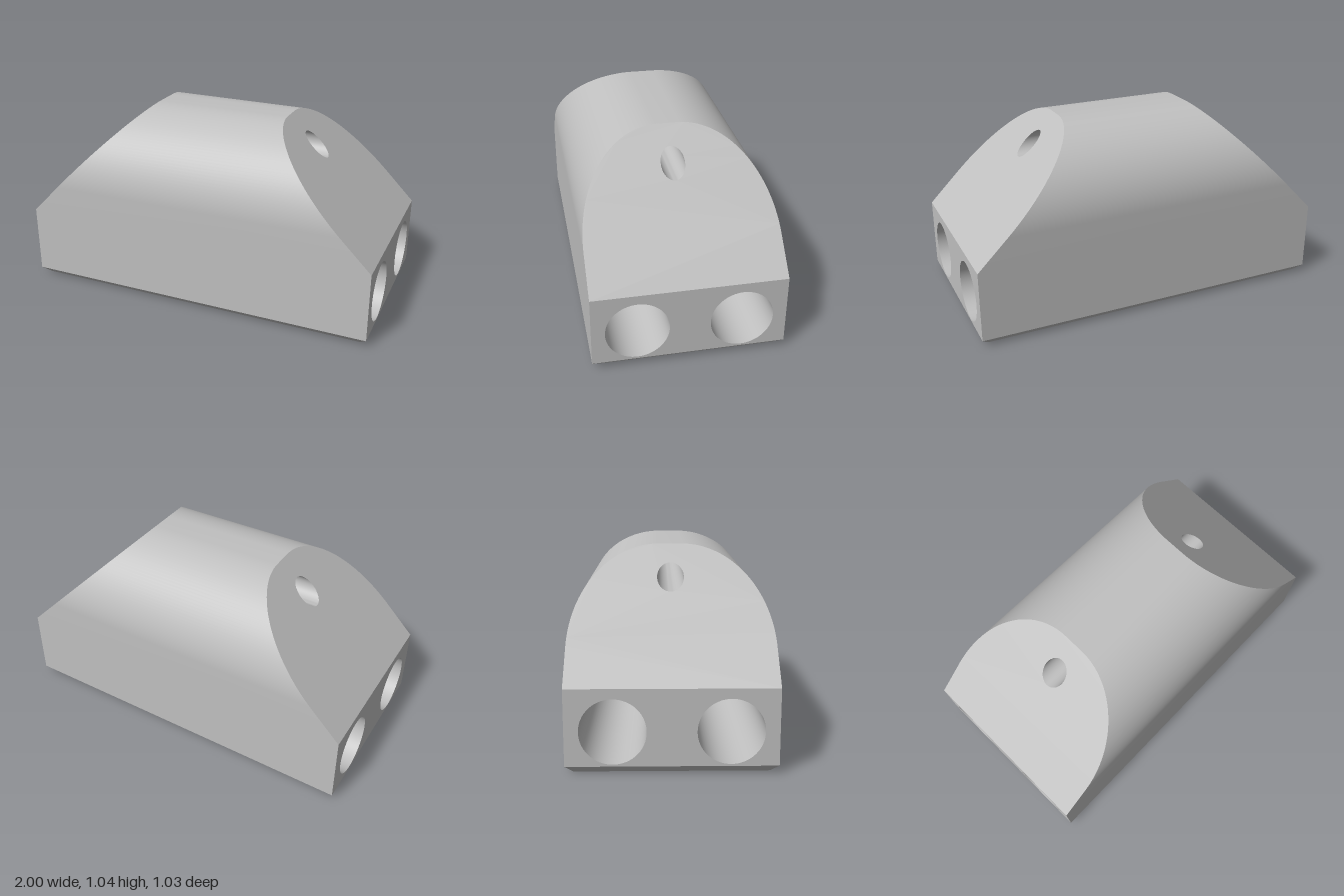
import * as THREE from 'three';
import { toCreasedNormals } from 'three/addons/utils/BufferGeometryUtils.js';

const HALF = 0.507, TOP = 1.04, RADIUS = 0.45, CHAMFER = 0.04, SHOULDER = 0.425;

// Place a cross-section point (z, y) on the left (+1) or right (-1) end:
// chamfered foot, upright end, 45 degree slope, and a slight taper along x
function place(side, z, y) {
  const x = side * Math.min(1, 1 + SHOULDER - y, 1 - CHAMFER + y);
  const taper = -0.008 * x * THREE.MathUtils.clamp(z / 0.1, -1, 1);
  return [x, y, z + taper];
}

// Wall running the whole length along a closed section; counterclockwise faces outwards
function wall(points) {
  const pos = [];
  points.forEach((p, i) => {
    const q = points[(i + 1) % points.length];
    const a = place(-1, p.x, p.y), b = place(1, p.x, p.y);
    const c = place(1, q.x, q.y), d = place(-1, q.x, q.y);
    pos.push(...a, ...b, ...c, ...a, ...c, ...d);
  });
  const geo = new THREE.BufferGeometry();
  geo.setAttribute('position', new THREE.Float32BufferAttribute(pos, 3));
  return toCreasedNormals(geo, 0.6);
}

// Flat end face with optional holes
function cap(side, points, holes = []) {
  const shape = new THREE.Shape(points);
  shape.holes = holes.map(h => new THREE.Path(h));
  const geo = new THREE.ShapeGeometry(shape);
  const pos = geo.attributes.position;
  for (let i = 0; i < pos.count; i++) {
    pos.setXYZ(i, ...place(side, pos.getX(i), pos.getY(i)));
  }
  if (side > 0) geo.index.array.reverse();
  const flat = geo.toNonIndexed();
  flat.computeVertexNormals();
  return flat;
}

// Clockwise circle, so that its wall faces into the hole
function circle(z, y, r, n = 64) {
  return Array.from({ length: n }, (_, i) => {
    const a = -i / n * Math.PI * 2;
    return new THREE.Vector2(z + r * Math.cos(a), y + r * Math.sin(a));
  });
}

export function createModel() {
  const group = new THREE.Group();
  const grey = new THREE.MeshStandardMaterial({ color: 0xc0c0c0 });
  grey.name = 'light grey';
  const add = (name, geo) => {
    const mesh = new THREE.Mesh(geo, grey);
    mesh.name = name;
    group.add(mesh);
  };
  const v = (z, y) => new THREE.Vector2(z, y);

  // Section: chamfered foot, upright sides, round top with a narrow flat
  const arch = [];
  const n = 40;
  for (const s of [1, -1]) {
    for (let i = 0; i <= n; i++) {
      const a = (s > 0 ? i : n - i) / n * Math.PI / 2;
      arch.push(v(s * (HALF - RADIUS + RADIUS * Math.cos(a)), TOP - RADIUS + RADIUS * Math.sin(a)));
    }
  }
  const foot = [v(-HALF + CHAMFER, 0), v(HALF - CHAMFER, 0), v(HALF, CHAMFER), v(-HALF, CHAMFER)];
  const block = [v(-HALF, CHAMFER), v(HALF, CHAMFER), v(HALF, SHOULDER), v(-HALF, SHOULDER)];
  const slope = [v(-HALF, SHOULDER), v(HALF, SHOULDER), ...arch];
  const outline = [foot[0], foot[1], foot[2], block[2], ...arch, block[3], foot[3]];
  add('shell', wall(outline));

  // Holes through the whole length
  const bores = [circle(-0.275, 0.2125, 0.1625), circle(0.275, 0.2125, 0.1625)];
  const pinHole = circle(0, 0.885, 0.066, 48);
  add('rightBack bore', wall(bores[0]));
  add('front bore', wall(bores[1]));
  add('pin hole', wall(pinHole));

  // End faces
  for (const side of [1, -1]) {
    const end = side > 0 ? 'left' : 'right';
    add(end + ' foot chamfer', cap(side, foot));
    add(end + ' end face', cap(side, block, bores));
    add(end + ' slope', cap(side, slope, [pinHole]));
  }
  return group;
}
